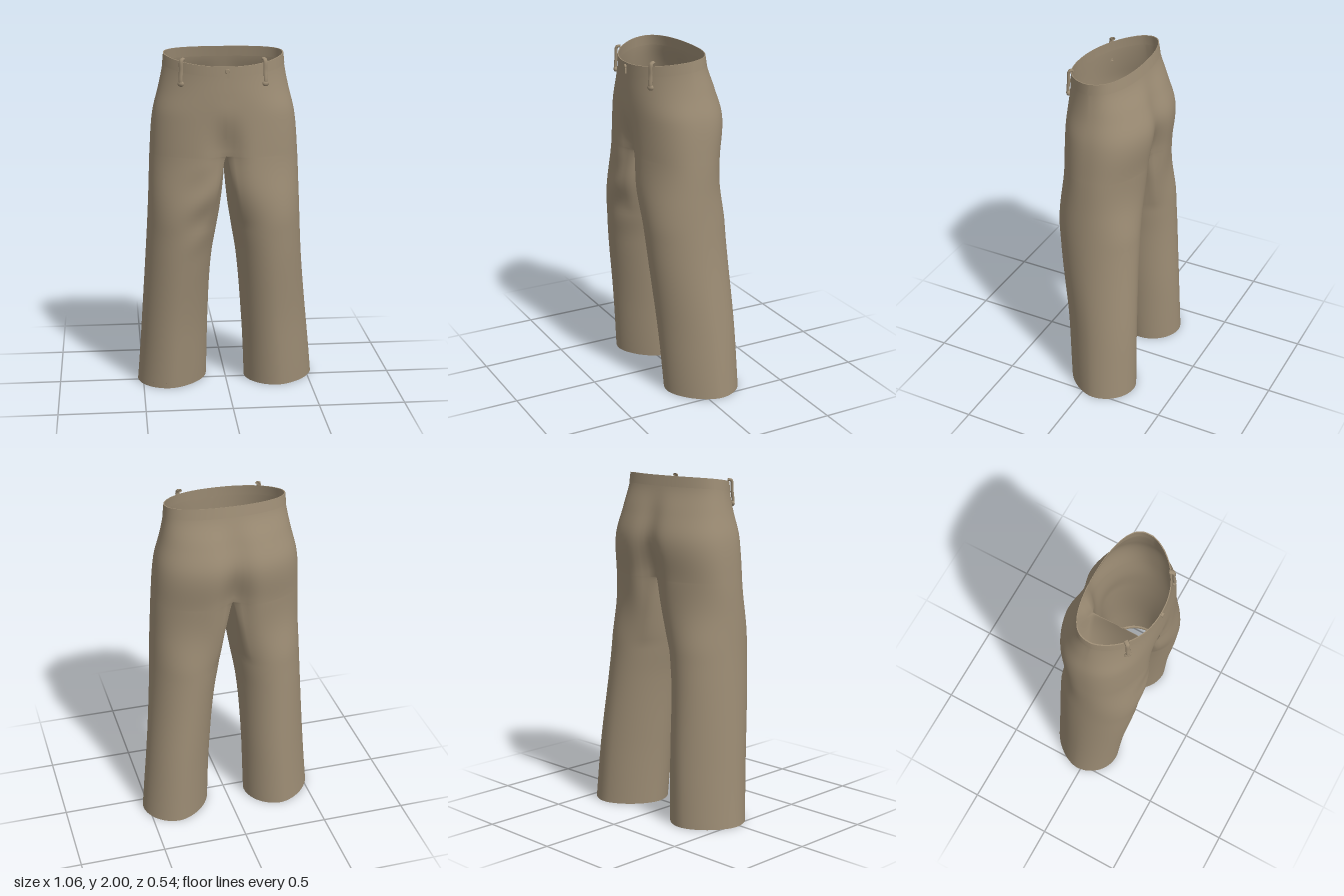
import * as THREE from 'three';
import { mergeVertices, mergeGeometries, toCreasedNormals } from 'three/addons/utils/BufferGeometryUtils.js';

// height, outer x, inner x, front z, back z, z of widest point, front dip, back dip, squareness
const KEYS = [
  [0.00, 0.532, 0.115, 0.165, -0.265, -0.05, 0, 0, 1.8],
  [0.40, 0.497, 0.100, 0.195, -0.252, -0.03, 0, 0, 1.85],
  [0.80, 0.463, 0.072, 0.240, -0.232, 0.00, 0, 0, 1.95],
  [1.00, 0.450, 0.040, 0.258, -0.224, 0.01, 0, 0, 2],
  [1.20, 0.440, 0.018, 0.274, -0.220, 0.02, 0.02, 0.03, 2.1],
  [1.42, 0.430, 0.000, 0.268, -0.235, 0.01, 0.05, 0.07, 2.3],
  [1.65, 0.410, 0.000, 0.265, -0.255, 0.00, 0, 0.035, 2.3],
  [1.80, 0.375, 0.000, 0.266, -0.210, 0.01, 0, 0.02, 2.2],
  [1.93, 0.350, 0.000, 0.262, -0.155, 0.02, 0, 0, 2.2],
  [2.00, 0.343, 0.000, 0.260, -0.140, 0.02, 0, 0, 2.2],
];
const CROTCH = 1.42, OUTER = 48, INNER = 16, WRAP = 0.75;
const spline = new THREE.CubicInterpolant(KEYS.map(k => k[0]), KEYS.flatMap(k => k.slice(1)), 8, new Float32Array(8));
const lerp = THREE.MathUtils.lerp, smooth = THREE.MathUtils.smoothstep;
const pow = (v, p) => Math.sign(v) * Math.pow(Math.abs(v), p);

// One point of a half section; u 0..1 runs front seam, outside, back seam; u 1..2 returns along the inseam
function point(side, y, u, inset = 0) {
  const [W, inn, F, B, zc, dipF, dipB, n] = spline.evaluate(y);
  let x = 0, z;
  if (u <= 1) {
    const phi = Math.PI * u, c = Math.abs(Math.cos(phi)) < 1e-9 ? 0 : Math.cos(phi);
    if (u > 0 && u < 1) x = W * pow(Math.sin(phi), 2 / n);
    // towards the waist the front comes to a soft point and the back goes flat
    const back = c < 0, e = lerp(2 / n, back ? 0.72 : 1.3, smooth(y, 1.65, 2));
    z = zc + (back ? zc - B : F - zc) * pow(c, e);
    z -= Math.sign(c) * (back ? dipB : dipF) * Math.exp(-((x / 0.08) ** 2));
  } else {
    z = lerp(B + dipB, F - dipF, u - 1);
  }
  if (y < CROTCH) {
    // blend from half-hip section to a round trouser leg, quickly at the inseam and gently outside
    const t = Math.min(1, (CROTCH - y) / 0.42);
    const s = lerp(smooth(t, 0, 1), Math.pow(t, 0.6), u > 1 ? 1 : Math.abs(2 * u - 1) ** 4);
    const a = u <= 1 ? lerp(-WRAP, Math.PI + WRAP, u) : lerp(Math.PI + WRAP, 2 * Math.PI - WRAP, u - 1);
    const skew = 0.15 * side * (1 - smooth(y, 0.3, 1.1));
    x = lerp(x, (W + inn) / 2 + ((W - inn) / 2 - inset) * pow(Math.sin(a), 2 / n), s);
    z = lerp(z, (F + B) / 2 + ((F - B) / 2 - inset) * pow(Math.cos(a + skew), 2 / n), s);
    // soft diagonal folds on the front of the right thigh
    if (side < 0 && z > 0.05) {
      const area = Math.exp(-(((y - 1.1) / 0.22) ** 2) - ((x - 0.14) / 0.1) ** 2) * smooth(CROTCH - y, 0, 0.1);
      z += 0.008 * area * Math.sin(26 * (y + 0.7 * x));
    }
  } else if (inset) {
    const k = 1 - inset / 0.28;
    x *= k;
    z = zc + (z - zc) * k;
  }
  // the waist is lower at the front; the whole garment leans slightly to its right
  const drop = 0.065 * Math.pow(THREE.MathUtils.clamp((z + 0.14) / 0.4, 0, 1.1), 1.5) * smooth(y, 1.6, 2);
  return [side * x - 0.013 * smooth(y, 0, 0.9), y - drop, z];
}

// Skin a stack of [height, inset] rows, listed from the top down
function skin(side, rows, us) {
  const pos = [], index = [], n = us.length;
  rows.forEach(([y, inset]) => us.forEach(u => pos.push(...point(side, y, u, inset))));
  for (let j = 0; j < rows.length - 1; j++) {
    for (let i = 0; i < n - 1; i++) {
      const a = j * n + i, b = a + 1, c = a + n, d = c + 1;
      if (side > 0) index.push(a, c, b, b, c, d);
      else index.push(a, b, c, b, d, c);
    }
  }
  const g = new THREE.BufferGeometry();
  g.setAttribute('position', new THREE.Float32BufferAttribute(pos, 3));
  g.setIndex(index);
  return g;
}

const range = (n, from, to) => Array.from({ length: n + 1 }, (_, i) => lerp(from, to, i / n));
const halfArc = range(OUTER, 0, 1);
const fullArc = [...halfArc, ...range(INNER, 1, 2).slice(1)];

function weld(parts) {
  const g = mergeVertices(mergeGeometries(parts), 1e-4);
  g.computeVertexNormals();
  return g;
}

export function createModel() {
  const group = new THREE.Group();
  const cloth = new THREE.MeshStandardMaterial({ color: 0x9c8c74, side: THREE.DoubleSide });
  cloth.name = 'khaki cloth';
  const add = (name, geometry, parent = group) => {
    const m = new THREE.Mesh(geometry, cloth);
    m.name = name;
    parent.add(m);
    return m;
  };

  // hips and both legs as one welded skin
  const hipRows = range(20, 1.985, CROTCH).map(y => [y, 0]);
  const legRows = range(48, 0, 1).map(t => [CROTCH * (1 - Math.pow(t, 1.4)), 0]);
  add('trousers', weld([1, -1].flatMap(s => [skin(s, hipRows, halfArc), skin(s, legRows, fullArc)])));

  // thin waistband folded over the top edge
  const bandRows = [[1.94, 0.004], [2, 0.004], [2, -0.0015], [1.94, -0.0015]];
  add('waistband', toCreasedNormals(weld([1, -1].map(s => skin(s, bandRows, halfArc))), 0.7));

  // narrow turned-in hems
  for (const s of [1, -1]) {
    const hem = weld([skin(s, [[0, 0], [0, 0.009], [0.02, 0.009], [0.03, 0]], fullArc)]);
    add(s > 0 ? 'leftHem' : 'rightHem', toCreasedNormals(hem, 0.7));
  }

  // belt loops: a rounded strap with a thicker foot
  for (const [x, z, name, turn] of [[0.2, 0.205, 'leftBeltLoop', 0.45], [-0.26, 0.186, 'rightBeltLoop', -0.6]]) {
    const loop = new THREE.Group();
    loop.name = name;
    const path = new THREE.CatmullRomCurve3([[0.148, -0.012], [0.143, 0.008], [0.08, 0.013], [0.02, 0.018], [0, 0.01]]
      .map(([py, pz]) => new THREE.Vector3(0, py, pz)));
    add('strap', new THREE.TubeGeometry(path, 16, 0.009, 8).scale(1.5, 1, 1), loop);
    add('foot', new THREE.SphereGeometry(0.021, 12, 8).scale(1, 0.8, 0.6).translate(0, 0.012, 0.016), loop);
    loop.position.set(x, 1.822, z);
    loop.rotation.y = turn;
    group.add(loop);
  }

  // fly placket laid on the front seam, with a small waist button and tab
  add('fly', weld([skin(-1, range(14, 1.93, 1.52).map(y => [y, -0.003]), range(4, 0, 0.012))]));
  const button = add('button', new THREE.CylinderGeometry(0.012, 0.015, 0.012, 16).rotateX(Math.PI / 2));
  button.position.set(-0.013, 1.91, 0.266);
  add('buttonTab', new THREE.BoxGeometry(0.014, 0.03, 0.01)).position.set(-0.008, 1.888, 0.265);
  return group;
}
